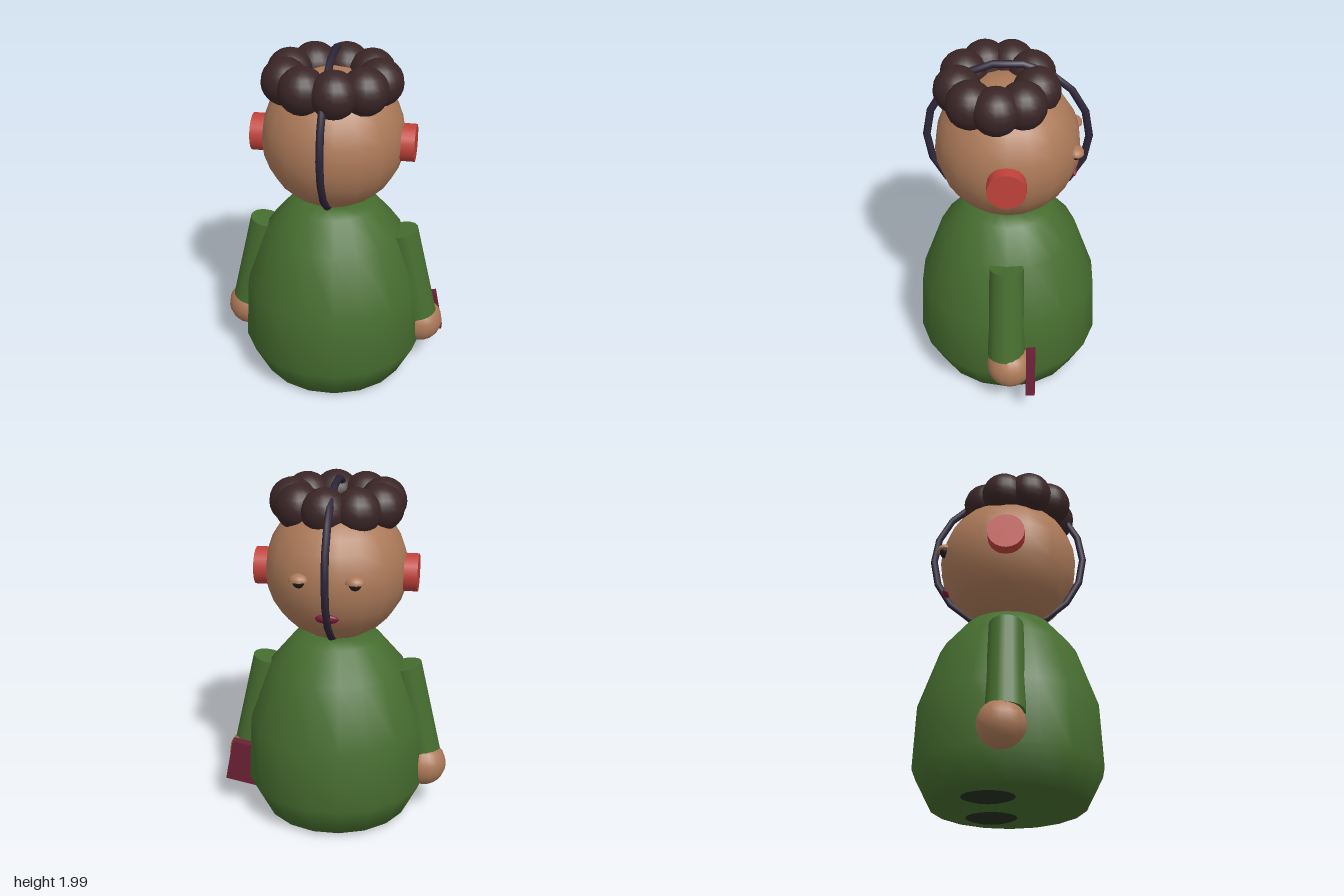
import * as THREE from 'three';

export function createModel() {
  const model = new THREE.Group();
  model.name = 'figure';

  const material = (name, color) => {
    const m = new THREE.MeshStandardMaterial({ color });
    m.name = name;
    return m;
  };
  const green = material('green robe', 0x466d2f);
  const skin = material('skin', 0xab7958);
  const brown = material('dark brown hair', 0x3a2526);
  const red = material('red', 0xc0423a);
  const purple = material('dark purple band', 0x2d2538);
  const maroon = material('maroon book', 0x6a2035);
  const lip = material('crimson lip', 0x781c38);
  const black = material('dark eye', 0x241c1c);
  const shoe = material('dark shoe', 0x243020);

  const add = (name, geometry, mat, x = 0, y = 0, z = 0) => {
    const mesh = new THREE.Mesh(geometry, mat);
    mesh.name = name;
    mesh.position.set(x, y, z);
    model.add(mesh);
    return mesh;
  };

  // Robe: turned bell shape with corners on the x axis
  const profile = [
    [0, 0.03], [0.43, 0.03], [0.526, 0.22], [0.508, 0.58],
    [0.39, 0.915], [0.247, 1.085], [0.15, 1.105], [0, 1.11],
  ].map(([r, y]) => new THREE.Vector2(r, y));
  const robe = add('robe', new THREE.LatheGeometry(profile, 18), green);
  robe.rotation.y = Math.PI / 2;

  // Head
  add('head', new THREE.SphereGeometry(0.4, 18, 14), skin, 0, 1.49, 0);

  // Ring of hair curls
  const curl = new THREE.SphereGeometry(0.13, 18, 12);
  for (let i = 0; i < 9; i++) {
    const a = (i / 9) * Math.PI * 2;
    add('hairCurl', curl, brown, 0.256 * Math.cos(a), 1.845, 0.056 + 0.212 * Math.sin(a));
  }

  // Band running over the head from front to back
  const band = add('headBand', new THREE.TorusGeometry(0.441, 0.021, 8, 18), purple, 0, 1.54, 0);
  band.rotation.y = Math.PI / 2;

  // Mouth
  const mouth = add('mouth', new THREE.SphereGeometry(1, 14, 8), lip, 0, 1.317, -0.364);
  mouth.scale.set(0.065, 0.03, 0.02);
  mouth.rotation.x = -0.45;

  // Paired parts
  const lidShape = new THREE.SphereGeometry(1, 14, 6, 0, Math.PI * 2, 0, Math.PI / 2);
  const up = new THREE.Vector3(0, 1, 0);
  for (const [side, s] of [['left', 1], ['right', -1]]) {
    const earPad = add(side + 'EarPad', new THREE.CylinderGeometry(0.105, 0.105, 0.095, 20), red, s * 0.4075, 1.48, 0);
    earPad.rotation.z = Math.PI / 2;

    add(side + 'Eye', new THREE.SphereGeometry(1, 12, 8), black, s * 0.15, 1.525, -0.365)
      .scale.set(0.036, 0.04, 0.03);
    add(side + 'Eyelid', lidShape, skin, s * 0.15, 1.525, -0.365).scale.set(0.055, 0.04, 0.045);
    // underside of the eyelid
    const under = add(side + 'EyelidUnderside', new THREE.CircleGeometry(1, 14), skin, s * 0.15, 1.525, -0.365);
    under.rotation.x = Math.PI / 2;
    under.scale.set(0.055, 0.045, 1);

    // Sleeve leaning outward from shoulder to wrist
    const top = new THREE.Vector3(s * 0.396, 0.925, 0);
    const bottom = new THREE.Vector3(s * 0.508, 0.377, 0);
    const axis = top.clone().sub(bottom);
    const sleeve = add(side + 'Sleeve', new THREE.CylinderGeometry(0.094, 0.106, axis.length(), 16), green);
    sleeve.position.copy(top).add(bottom).multiplyScalar(0.5);
    sleeve.quaternion.setFromUnitVectors(up, axis.normalize());

    add(side + 'Hand', new THREE.SphereGeometry(0.13, 16, 12), skin, s * 0.52, 0.31, -0.02);

    add(side + 'Foot', new THREE.SphereGeometry(1, 16, 10), shoe, s * 0.2, 0.065, -0.1)
      .scale.set(0.15, 0.06, 0.18);
  }

  // Book held in the left hand
  const book = add('book', new THREE.BoxGeometry(0.19, 0.255, 0.052), maroon, 0.528, 0.292, -0.139);
  book.rotation.z = 0.19;

  return model;
}
